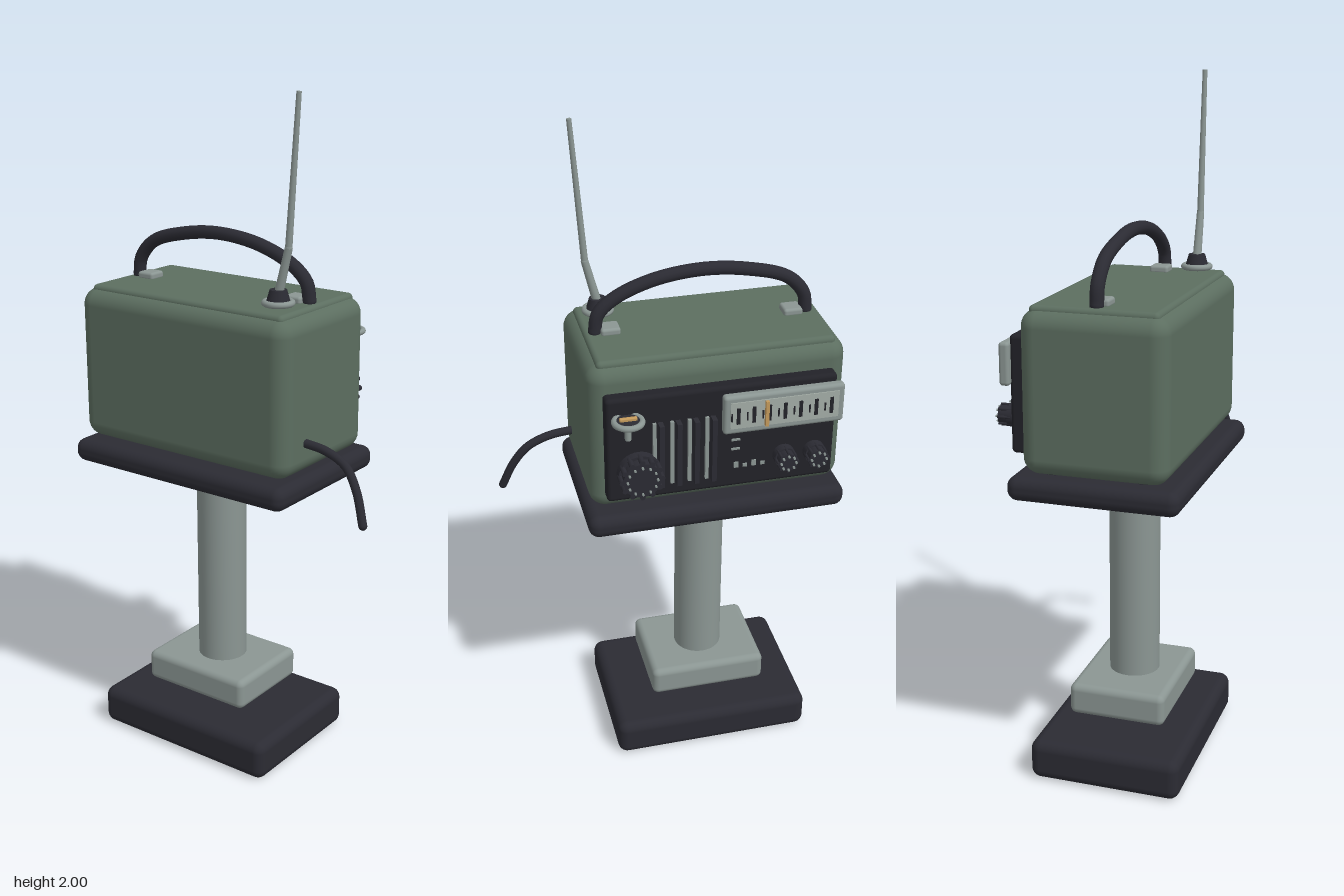
import * as THREE from 'three';
import { RoundedBoxGeometry } from 'three/addons/geometries/RoundedBoxGeometry.js';

const mat = (name, color) => {
  const m = new THREE.MeshStandardMaterial({ color });
  m.name = name;
  return m;
};

export function createModel() {
  const green = mat('olive green paint', 0x5c6e60);
  const dark = mat('dark rubber', 0x2b2b33);
  const black = mat('panel black', 0x222228);
  const grey = mat('grey metal', 0x8b9693);
  const pale = mat('pale dial', 0xa3aca6);
  const brass = mat('brass', 0xc49a5c);

  const model = new THREE.Group();
  model.name = 'radioOnStand';

  const add = (name, geo, material, x = 0, y = 0, z = 0) => {
    const mesh = new THREE.Mesh(geo, material);
    mesh.name = name;
    mesh.position.set(x, y, z);
    model.add(mesh);
    return mesh;
  };
  // Boxes are given by their limits on each axis
  const box = (name, material, [x0, x1], [y0, y1], [z0, z1], r = 0) => {
    const s = [x1 - x0, y1 - y0, z1 - z0];
    const geo = r ? new RoundedBoxGeometry(...s, 4, r) : new THREE.BoxGeometry(...s);
    return add(name, geo, material, (x0 + x1) / 2, (y0 + y1) / 2, (z0 + z1) / 2);
  };
  // Cylinder along z, for parts on the control panel
  const dial = (name, material, r, x, y, z0, z1, sides = 32) => {
    const geo = new THREE.CylinderGeometry(r, r, z1 - z0, sides).rotateX(Math.PI / 2);
    return add(name, geo, material, x, y, (z0 + z1) / 2);
  };
  const vec = (p) => new THREE.Vector3(...p);
  const tube = (name, material, points, r, steps = 40) => {
    const curve = new THREE.CatmullRomCurve3(points.map(vec));
    add(name, new THREE.TubeGeometry(curve, steps, r, 12), material);
    for (const p of [points[0], points[points.length - 1]])
      add(name + 'End', new THREE.SphereGeometry(r, 12, 8), material, ...p);
  };
  const rod = (name, material, a, b, r0, r1) => {
    const from = vec(a), to = vec(b), dir = to.clone().sub(from);
    const mesh = add(name, new THREE.CylinderGeometry(r1, r0, dir.length(), 14), material);
    mesh.position.copy(from).add(to).multiplyScalar(0.5);
    mesh.quaternion.setFromUnitVectors(new THREE.Vector3(0, 1, 0), dir.normalize());
  };

  // Stand
  box('standBase', dark, [-0.42, 0.2], [0, 0.12], [-0.19, 0.26], 0.03);
  box('standFoot', grey, [-0.295, 0.07], [0.16, 0.255], [-0.11, 0.18], 0.02);
  add('standPost', new THREE.CylinderGeometry(0.075, 0.075, 0.725, 40), grey, -0.11, 0.5175, 0.035);
  const collar = [[0, -0.018], [0.115, -0.018], [0.128, -0.012], [0.133, 0], [0.128, 0.012], [0.115, 0.018], [0, 0.018]];
  add('standCollar', new THREE.LatheGeometry(collar.map((p) => new THREE.Vector2(...p)), 40), dark, -0.11, 0.855, 0.035);
  box('tray', dark, [-0.49, 0.275], [0.88, 0.95], [-0.215, 0.275], 0.03);

  // Radio case
  box('case', green, [-0.48, 0.262], [0.955, 1.41], [-0.175, 0.24], 0.048);
  box('lid', green, [-0.45, 0.232], [1.39, 1.42], [-0.152, 0.21], 0.014);
  for (const x of [-0.4, 0.19])
    for (const z of [-0.1, 0.16])
      add('caseFoot', new THREE.CylinderGeometry(0.03, 0.03, 0.03, 20), dark, x, 0.955, z);

  // Carrying handle and its brackets
  tube('handle', dark, [[-0.418, 1.425, 0.03], [-0.41, 1.475, 0.03], [-0.36, 1.53, 0.03], [-0.24, 1.567, 0.03],
    [-0.11, 1.58, 0.03], [0.03, 1.563, 0.03], [0.14, 1.52, 0.03], [0.19, 1.475, 0.03], [0.2, 1.425, 0.03]], 0.0195, 60);
  for (const x of [-0.375, 0.158])
    box('handleBracket', grey, [x - 0.028, x + 0.028], [1.415, 1.438], [0.002, 0.058], 0.008);

  // Antenna
  const ring = (name, x, y, z) => {
    add(name, new THREE.TorusGeometry(0.038, 0.009, 10, 36).rotateX(Math.PI / 2), grey, x, y, z);
    add(name + 'Core', new THREE.CylinderGeometry(0.036, 0.036, 0.012, 28), dark, x, y, z);
  };
  ring('antennaSeat', 0.17, 1.437, 0.137);
  add('antennaSocket', new THREE.CylinderGeometry(0.024, 0.034, 0.035, 24), dark, 0.17, 1.456, 0.137);
  rod('antennaBase', grey, [0.172, 1.465, 0.137], [0.203, 1.59, 0.137], 0.013, 0.011);
  add('antennaJoint', new THREE.SphereGeometry(0.011, 14, 10), grey, 0.203, 1.59, 0.137);
  rod('antennaWhip', grey, [0.203, 1.59, 0.137], [0.232, 2, 0.137], 0.01, 0.007);

  // Power cord
  tube('cord', dark, [[0.25, 1.05, 0.132], [0.33, 1.04, 0.132], [0.395, 1.01, 0.134],
    [0.44, 0.95, 0.147], [0.475, 0.865, 0.167]], 0.0125);

  // Control panel on the back side
  box('panel', black, [-0.44, 0.222], [1.005, 1.335], [-0.212, -0.165], 0.012);

  // Tuning scale
  box('scaleFrame', grey, [-0.455, -0.105], [1.195, 1.315], [-0.238, -0.208], 0.01);
  box('scaleFace', pale, [-0.437, -0.123], [1.215, 1.297], [-0.241, -0.235]);
  for (let i = 0; i < 7; i++) {
    const x = -0.415 + i * 0.045;
    box('scaleMark', black, [x - 0.005, x + 0.005], [1.23, 1.28], [-0.244, -0.24]);
    box('scaleTick', black, [x + 0.017, x + 0.021], [1.24, 1.265], [-0.244, -0.24]);
  }
  box('scaleNeedle', brass, [-0.231, -0.221], [1.217, 1.295], [-0.252, -0.24]);

  // Speaker grille
  for (let i = 0; i < 4; i++) {
    const x = -0.08 + i * 0.05;
    box('grilleFin', dark, [x - 0.007, x + 0.007], [1.05, 1.25], [-0.24, -0.21]);
    box('grilleBar', grey, [x + 0.012, x + 0.022], [1.05, 1.25], [-0.222, -0.21]);
  }

  // Knobs, each with a rim of grips and a face of small pips
  const knob = (name, r, x, y, z1, pips) => {
    dial(name + 'Skirt', dark, r, x, y, -0.238, -0.21);
    dial(name, dark, r * 0.86, x, y, z1, -0.23);
    for (let i = 0; i < pips; i++) {
      const a = (i / pips) * Math.PI * 2;
      dial(name + 'Grip', dark, r * 0.13, x + Math.cos(a) * r * 0.9, y + Math.sin(a) * r * 0.9, z1, -0.225, 8);
      dial(name + 'Pip', grey, 0.0035, x + Math.cos(a) * r * 0.68, y + Math.sin(a) * r * 0.68, z1 - 0.007, z1 + 0.002, 8);
    }
  };
  knob('tuningKnob', 0.063, 0.132, 1.1, -0.265, 12);
  for (const x of [-0.38, -0.29]) knob('smallKnob', 0.032, x, 1.095, -0.264, 8);

  // Small markings beside the knobs
  for (let i = 0; i < 4; i++)
    box('marking', grey, [-0.235 + i * 0.026, -0.222 + i * 0.026], [1.07, 1.08 + (i % 2) * 0.008], [-0.216, -0.21]);
  for (const y of [1.13, 1.16])
    box('marking', grey, [-0.16, -0.135], [y, y + 0.006], [-0.216, -0.21]);

  // Ringed socket with a brass contact
  ring('socket', 0.165, 1.28, -0.24);
  box('socketContact', brass, [0.14, 0.19], [1.275, 1.295], [-0.248, -0.236], 0.004);
  add('socketStem', new THREE.CylinderGeometry(0.009, 0.009, 0.06, 14), grey, 0.165, 1.25, -0.234);

  return model;
}
